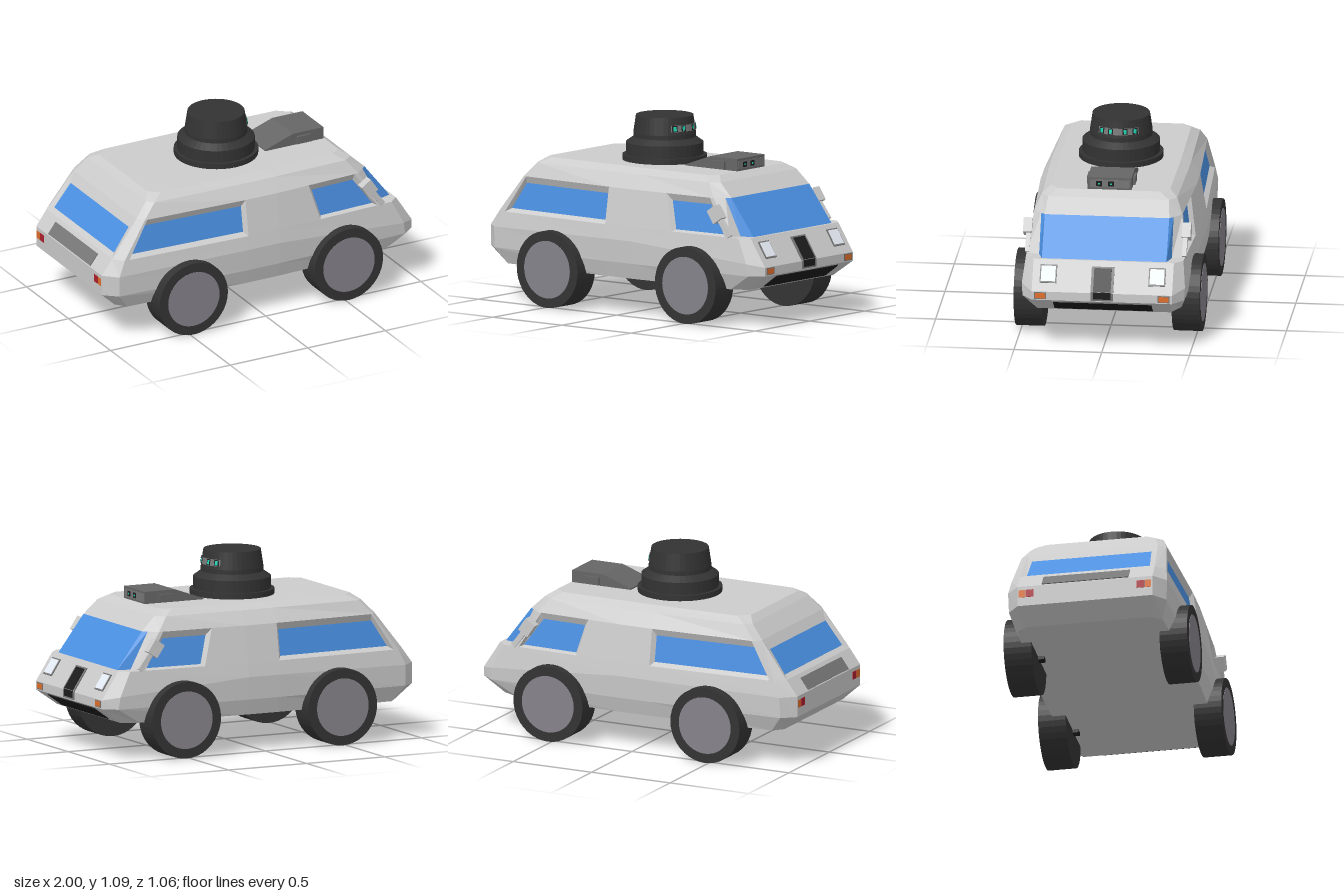
import * as THREE from 'three';

const mat = (color = 0xcccccc) =>
  new THREE.MeshStandardMaterial({ color, flatShading: true, side: THREE.DoubleSide });
const GREY = mat(), GLASS = mat(0x4a90e2), BLACK = mat(0x333333), VENT = mat(0x666666),
  HUB = mat(0x85828a), FRAME = mat(0x777777), LENS = mat(0xe8eef8), ORANGE = mat(0xe0702c),
  RED = mat(0xb02030), TEAL = mat(0x20d0b0), DARK = mat(0x1c1c1c);

export function createModel() {
  const root = new THREE.Group();

  function add(name, geo, material, x = 0, y = 0, z = 0) {
    const mesh = new THREE.Mesh(geo, material);
    mesh.name = name;
    mesh.position.set(x, y, z);
    root.add(mesh);
    return mesh;
  }
  const box = (name, m, sx, sy, sz, x, y, z) => add(name, new THREE.BoxGeometry(sx, sy, sz), m, x, y, z);

  function surface(name, tris, material) {
    const geo = new THREE.BufferGeometry();
    geo.setAttribute('position', new THREE.Float32BufferAttribute(tris.flat(), 3));
    geo.computeVertexNormals();
    return add(name, geo, material);
  }
  // corners run counter-clockwise seen from outside
  const quad = (a, b, c, d) => [a, b, c, a, c, d];
  const mirrorQuad = (a, b, c, d) => {
    const m = ([x, y, z]) => [x, y, -z];
    return [...quad(a, b, c, d), ...quad(m(d), m(c), m(b), m(a))];
  };

  // closed ring from its +z half, running front to rear
  const ring = (half) => [...half, ...[...half].reverse().map(([x, y, z]) => [x, y, -z])];
  function loft(name, rings) {
    const tris = [];
    const cap = (r, up) => {
      for (let i = 0; i < r.length / 2 - 1; i++) {
        const a = r[i], b = r[i + 1], c = r[r.length - 2 - i], d = r[r.length - 1 - i];
        tris.push(...(up ? quad(a, d, c, b) : quad(a, b, c, d)));
      }
    };
    for (let k = 0; k < rings.length - 1; k++) {
      const lo = rings[k], hi = rings[k + 1];
      lo.forEach((a, i) => {
        const j = (i + 1) % lo.length;
        tris.push(...quad(a, hi[i], hi[j], lo[j]).map((p) => p));
      });
    }
    cap(rings[0], false);
    cap(rings[rings.length - 1], true);
    return surface(name, tris, GREY);
  }

  // side wall of the cabin: leans in upwards, tapers to both ends
  const sideZ = (x, y) => 0.48 - 0.167 * (y - 0.51) - 0.042 * Math.max(0, Math.abs(x) - 0.1);
  const LOW = 0.51, TOP = 0.72;
  const side = (x, y, inset = 0) => [x, y, sideZ(x, y) - inset];

  // lower hull
  loft('lowerBody', [
    [[0.87, 0.21, 0.38], [0.77, 0.21, 0.43], [0.1, 0.21, 0.455], [-0.1, 0.21, 0.455], [-0.85, 0.21, 0.42], [-0.9, 0.21, 0.36]],
    [[0.995, 0.3, 0.4], [0.92, 0.3, 0.46], [0.1, 0.3, 0.482], [-0.1, 0.3, 0.482], [-0.92, 0.3, 0.455], [-0.997, 0.3, 0.39]],
    [[0.995, 0.35, 0.4], [0.91, 0.37, 0.465], [0.1, 0.43, 0.492], [-0.1, 0.43, 0.492], [-0.92, 0.42, 0.46], [-0.997, 0.42, 0.39]],
    [[0.89, LOW, 0.4], side(0.84, LOW), side(0.1, LOW), side(-0.1, LOW), side(-0.88, LOW), [-0.93, LOW, 0.39]],
  ].map(ring));

  // roof
  loft('roof', [
    [[0.715, TOP, 0.355], side(0.64, TOP), side(0.1, TOP), side(-0.1, TOP), side(-0.735, TOP), [-0.765, TOP, 0.375]],
    [[0.63, 0.8, 0.345], [0.575, 0.8, 0.385], [0.1, 0.8, 0.395], [-0.1, 0.8, 0.395], [-0.655, 0.8, 0.385], [-0.69, 0.8, 0.345]],
    [[0.58, 0.833, 0.29], [0.52, 0.833, 0.34], [0.1, 0.833, 0.345], [-0.1, 0.833, 0.345], [-0.59, 0.833, 0.34], [-0.65, 0.833, 0.29]],
  ].map(ring));

  // pillars and door panels: rear and front x at sill, then at roof
  const panels = [[0.745, 0.78, 0.615, 0.64], [0.1, 0.37, 0.1, 0.31], [-0.1, 0.1, -0.1, 0.1], [-0.88, -0.85, -0.735, -0.72]]
    .flatMap(([b0, b1, t0, t1]) => mirrorQuad(side(b0, LOW), side(b1, LOW), side(t1, TOP), side(t0, TOP)));
  const w0 = [0.875, LOW, 0.355], w1 = [0.8, LOW, 0.378], v0 = [0.715, TOP, 0.355], v1 = [0.69, TOP, 0.377];
  panels.push(...mirrorQuad(side(0.78, LOW), w1, v1, side(0.64, TOP)));
  panels.push(...mirrorQuad([-0.93, LOW, 0.39], side(-0.88, LOW), side(-0.735, TOP), [-0.765, TOP, 0.375]));
  surface('cabinPillars', panels, GREY);

  // wrap-around windscreen
  const neg = ([x, y, z]) => [x, y, -z];
  surface('windscreen', [...mirrorQuad(w1, w0, v0, v1), ...quad(w0, neg(w0), neg(v0), v0)], GLASS);

  // sunken windows: outer opening, inner glass
  function sunken(name, outer, inner, mirror) {
    const make = mirror ? mirrorQuad : quad;
    const frame = outer.flatMap((p, i) => {
      const j = (i + 1) % 4;
      return make(p, outer[j], inner[j], inner[i]);
    });
    surface(name + 'Frame', frame, GREY);
    surface(name, make(...inner), GLASS);
  }
  sunken('frontSideWindows',
    [side(0.37, LOW), side(0.745, LOW), side(0.615, TOP), side(0.31, TOP)],
    [side(0.385, 0.52, 0.025), side(0.725, 0.52, 0.025), side(0.61, 0.68, 0.025), side(0.34, 0.68, 0.025)], true);
  sunken('rearSideWindows',
    [side(-0.85, LOW), side(-0.1, LOW), side(-0.1, TOP), side(-0.72, TOP)],
    [side(-0.82, 0.53, 0.025), side(-0.12, 0.53, 0.025), side(-0.12, 0.68, 0.025), side(-0.73, 0.68, 0.025)], true);
  sunken('rearWindow',
    [[-0.93, LOW, -0.39], [-0.93, LOW, 0.39], [-0.765, TOP, 0.375], [-0.765, TOP, -0.375]],
    [[-0.9, 0.53, -0.355], [-0.9, 0.53, 0.355], [-0.8, 0.665, 0.345], [-0.8, 0.665, -0.345]], false);

  // thin plate lying on a sloping end face that runs from a to b
  function plate(name, m, [ax, ay], [bx, by], y0, y1, z, width, depth = 0.01) {
    const y = (y0 + y1) / 2, slope = (bx - ax) / (by - ay);
    const p = box(name, m, depth, (y1 - y0) * Math.hypot(1, slope), width, ax + slope * (y - ay), y, z);
    p.rotation.z = Math.atan(-slope);
  }
  const noseLow = [0.995, 0.35], noseTop = [0.89, LOW];
  plate('noseGrille', FRAME, noseLow, noseTop, 0.352, 0.48, 0, 0.13, 0.012);
  plate('noseGrilleInset', DARK, noseLow, noseTop, 0.355, 0.472, 0, 0.1, 0.018);
  box('noseGrilleLower', FRAME, 0.01, 0.045, 0.13, 0.994, 0.328, 0);
  box('noseGrilleLowerInset', DARK, 0.012, 0.04, 0.1, 0.994, 0.335, 0);
  plate('bumperIntake', DARK, [0.87, 0.21], [0.995, 0.3], 0.223, 0.29, 0, 0.56);
  plate('tailgatePanel', FRAME, [-0.997, 0.42], [-0.93, LOW], 0.425, 0.49, 0, 0.5);
  for (const s of [1, -1]) {
    plate('headlightFrame', FRAME, noseLow, noseTop, 0.393, 0.483, s * 0.31, 0.096, 0.012);
    plate('headlight', LENS, noseLow, noseTop, 0.4, 0.476, s * 0.31, 0.082, 0.02);
    box('indicatorFrame', FRAME, 0.008, 0.04, 0.07, 0.993, 0.326, s * 0.352);
    box('indicator', ORANGE, 0.01, 0.03, 0.058, 0.994, 0.326, s * 0.352);
    box('tailLight', RED, 0.01, 0.045, 0.045, -0.994, 0.375, s * 0.32);
    box('rearIndicator', ORANGE, 0.01, 0.045, 0.035, -0.994, 0.375, s * 0.365);

    // wing mirror on its bent arm
    const mirror = box('mirrorHead', GREY, 0.07, 0.085, 0.05, 0.685, 0.635, s * 0.452);
    mirror.rotation.z = 0.6;
    const arm = box('mirrorArm', GREY, 0.03, 0.13, 0.025, 0.74, 0.565, s * 0.447);
    arm.rotation.z = 0.65;

    // wheels
    for (const x of [0.52, -0.48]) {
      add('tyre', new THREE.CylinderGeometry(0.22, 0.22, 0.16, 40).rotateX(Math.PI / 2), BLACK, x, 0.22, s * 0.45);
      add('hub', new THREE.CylinderGeometry(0.165, 0.165, 0.01, 40).rotateX(Math.PI / 2), HUB, x, 0.22, s * 0.527);
      box('axleStub', DARK, 0.05, 0.03, 0.04, x, 0.205, s * 0.355);
    }
  }

  // roof turret
  const profile = [[0, 0.83], [0.24, 0.83], [0.24, 0.865], [0.22, 0.865], [0.22, 0.935], [0.178, 0.965],
    [0.178, 0.99], [0.163, 1.09], [0, 1.09]].map(([r, y]) => new THREE.Vector2(r, y));
  add('turret', new THREE.LatheGeometry(profile, 40), BLACK, -0.05);
  // curved strip facing forward, centred on z
  const strip = (name, m, r, y, h, z, w) => add(name, new THREE.CylinderGeometry(r - h * 0.15, r, h, 12, 1, true,
    Math.PI / 2 - Math.asin((z + w / 2) / r), Math.asin((z + w / 2) / r) - Math.asin((z - w / 2) / r)), m, -0.05, y, 0);
  strip('sensorWindow', FRAME, 0.179, 1.028, 0.038, 0, 0.23);
  for (const z of [0.096, 0.044, -0.041, -0.096]) {
    strip('sensorSocket', DARK, 0.18, 1.028, 0.034, z, 0.028);
    strip('sensorLight', TEAL, 0.181, 1.028, 0.025, z, 0.016);
  }

  // wedge-shaped roof scoop
  const wedge = new THREE.Shape([[0.2, 0.832], [0.575, 0.832], [0.575, 0.903], [0.38, 0.903], [0.2, 0.84]]
    .map(([x, y]) => new THREE.Vector2(x, y)));
  add('roofScoop', new THREE.ExtrudeGeometry(wedge, { depth: 0.25, bevelEnabled: false }), VENT, 0, 0, -0.125);
  box('scoopSideTabs', VENT, 0.09, 0.045, 0.274, 0.445, 0.86, 0);
  box('scoopFace', FRAME, 0.006, 0.046, 0.225, 0.575, 0.867, 0);
  for (const z of [0.06, -0.008]) {
    box('scoopSocket', DARK, 0.008, 0.03, 0.034, 0.576, 0.867, z);
    box('scoopLight', TEAL, 0.01, 0.01, 0.01, 0.577, 0.867, z);
  }
  return root;
}
